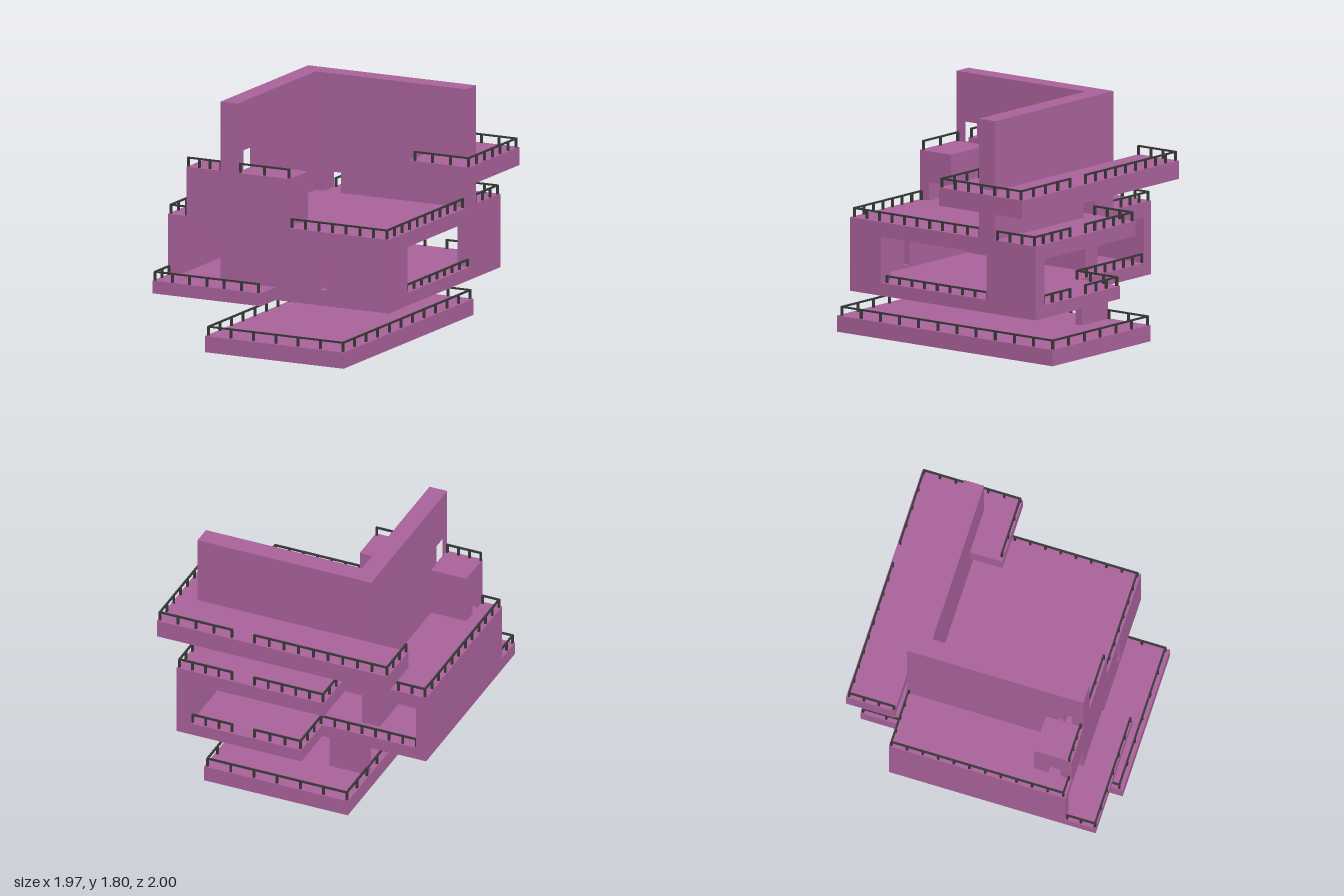
import * as THREE from 'three';

const wallMat = new THREE.MeshStandardMaterial({ color: 0xaa629b, flatShading: true });
const railMat = new THREE.MeshStandardMaterial({ color: 0x383838, flatShading: true });

const rect = (a, b, c, d) => [[a, c], [b, c], [b, d], [a, d]];

// Extrudes an outline along an axis: 'x' takes [z, y], 'y' takes [x, z], 'z' takes [x, y].
function prism(name, axis, outline, from, to, holes = []) {
  const map = ([u, v]) => axis === 'x' ? new THREE.Vector2(-u, v)
    : axis === 'y' ? new THREE.Vector2(u, -v) : new THREE.Vector2(u, v);
  const shape = new THREE.Shape(outline.map(map));
  for (const h of holes) shape.holes.push(new THREE.Path(h.map(map)));
  const geo = new THREE.ExtrudeGeometry(shape, { depth: to - from, bevelEnabled: false });
  geo.translate(0, 0, from);
  if (axis === 'x') geo.rotateY(Math.PI / 2);
  if (axis === 'y') geo.rotateX(-Math.PI / 2);
  const mesh = new THREE.Mesh(geo, wallMat);
  mesh.name = name;
  return mesh;
}

// Rectangle outline with a door notch cut from its bottom edge.
const doorway = (a, b, y0, y1, d0, d1, dy) =>
  [[a, y0], [d0, y0], [d0, dy], [d1, dy], [d1, y0], [b, y0], [b, y1], [a, y1]];

// Handrail on evenly spaced posts, following [x, z] points at floor height y.
function railing(name, y, points, spacing = 0.115, height = 0.065) {
  const g = new THREE.Group();
  g.name = name;
  const add = (part, w, h, d, x, py, z) => {
    const m = new THREE.Mesh(new THREE.BoxGeometry(w, h, d), railMat);
    m.name = part;
    m.position.set(x, py, z);
    g.add(m);
  };
  for (let i = 0; i + 1 < points.length; i++) {
    const [x0, z0] = points[i], [x1, z1] = points[i + 1];
    const len = Math.hypot(x1 - x0, z1 - z0);
    add('handrail', Math.abs(x1 - x0) + 0.014, 0.012, Math.abs(z1 - z0) + 0.014,
      (x0 + x1) / 2, y + height, (z0 + z1) / 2);
    const n = Math.max(1, Math.round(len / spacing));
    for (let k = i ? 1 : 0; k <= n; k++) {
      add('post', 0.016, height, 0.016,
        x0 + (x1 - x0) * k / n, y + height / 2, z0 + (z1 - z0) * k / n);
    }
  }
  return g;
}

export function createModel() {
  const model = new THREE.Group();
  model.name = 'terracedHouse';
  const F = 0.47, C = 0.81, R = 0.92, T = 1.285; // floor, ceiling, roof deck, upper deck

  // Base and support
  model.add(
    prism('baseSlab', 'y', rect(-0.525, 0.615, -0.99, 1), 0, 0.12),
    prism('supportWall', 'z', rect(-0.51, -0.21, 0.12, 0.375), -0.61, -0.55));

  // Main storey: floor with balconies, roof deck and the walls between them
  model.add(
    prism('mainFloor', 'y', [[-0.985, 0.94], [-0.1, 0.94], [-0.1, 0.71], [0.83, 0.71], [0.83, -1],
      [-0.16, -1], [-0.16, -0.63], [-0.985, -0.63]], 0.375, F),
    prism('roofDeck', 'y', [[-0.985, 0.71], [0.83, 0.71], [0.83, -1], [-0.34, -1],
      [-0.34, -0.63], [-0.985, -0.63]], C, R),
    prism('leftSideWall', 'x', rect(-0.63, 0.71, F, C), -0.985, -0.905),
    prism('innerWall', 'x', rect(-0.48, 0.61, F, C), -0.55, -0.41),
    prism('frontWall', 'z', rect(-0.55, 0.72, F, C), 0.61, 0.71, [rect(0.265, 0.32, 0.49, 0.79)]),
    prism('windowWallFront', 'x', rect(0.425, 0.71, F, C), 0.72, 0.83),
    prism('windowWallBack', 'x', rect(-1, -0.55, F, C), 0.72, 0.83));

  // Tall corner walls
  model.add(
    prism('tallBackWall', 'z', doorway(-0.55, 0.83, R, 1.8, -0.34, -0.2, 1.07), -0.63, -0.48),
    prism('tallSideWall', 'x', doorway(-0.48, 0.71, R, 1.8, 0.53, 0.625, 1.055), -0.55, -0.41,
      [rect(0.52, 0.625, 1.29, 1.435)]));

  // Small rooms either side of the tall wall, with a passage through them
  for (const [name, x0, x1] of [['outerRoom', -0.83, -0.55], ['innerRoom', -0.41, 0.015]]) {
    model.add(prism(name, 'x', doorway(0.425, 0.71, R, T, 0.53, 0.625, 1.055), x0, x1));
  }

  // Upper deck wrapping behind the tall wall
  model.add(prism('upperDeck', 'y', [[-0.845, -0.63], [0.49, -0.63], [0.49, -0.235], [0.985, -0.235],
    [0.985, -1], [-0.845, -1]], 1.15, T));

  // Railings
  model.add(
    railing('baseRailing', 0.12, [[-0.51, 0.97], [0.595, 0.97], [0.595, -0.975],
      [-0.51, -0.975], [-0.51, 0.97]], 0.18),
    railing('frontBalconyRailing', F, [[-0.97, 0.72], [-0.97, 0.93], [-0.12, 0.93]], 0.14),
    railing('windowRailing', F, [[0.805, 0.39], [0.805, -0.54]], 0.115, 0.05),
    railing('backBalconyRailingLeft', F, [[0.71, -0.98], [0.4, -0.98]]),
    railing('backBalconyRailingRight', F, [[0.22, -0.98], [-0.145, -0.98], [-0.145, -0.615], [-0.9, -0.615]]),
    railing('roofRailingRight', R, [[-0.55, -0.615], [-0.97, -0.615], [-0.97, 0.69], [-0.84, 0.69]]),
    railing('roofRailingFront', R, [[0.025, 0.69], [0.805, 0.69], [0.805, -0.47]]),
    railing('roofRailingBackLeft', R, [[0.815, -0.64], [0.815, -0.98], [0.4, -0.98]]),
    railing('roofRailingBackRight', R, [[0.22, -0.98], [-0.325, -0.98], [-0.325, -0.635]]),
    railing('outerRoomRailing', T, [[-0.825, 0.69], [-0.56, 0.69]], 0.09),
    railing('innerRoomRailing', T, [[-0.4, 0.69], [0, 0.69]], 0.18),
    railing('upperRailingRight', T, [[-0.83, -0.64], [-0.83, -0.98], [0.22, -0.98]]),
    railing('upperRailingLeft', T, [[0.4, -0.98], [0.97, -0.98], [0.97, -0.25], [0.53, -0.25]], 0.13));

  return model;
}
